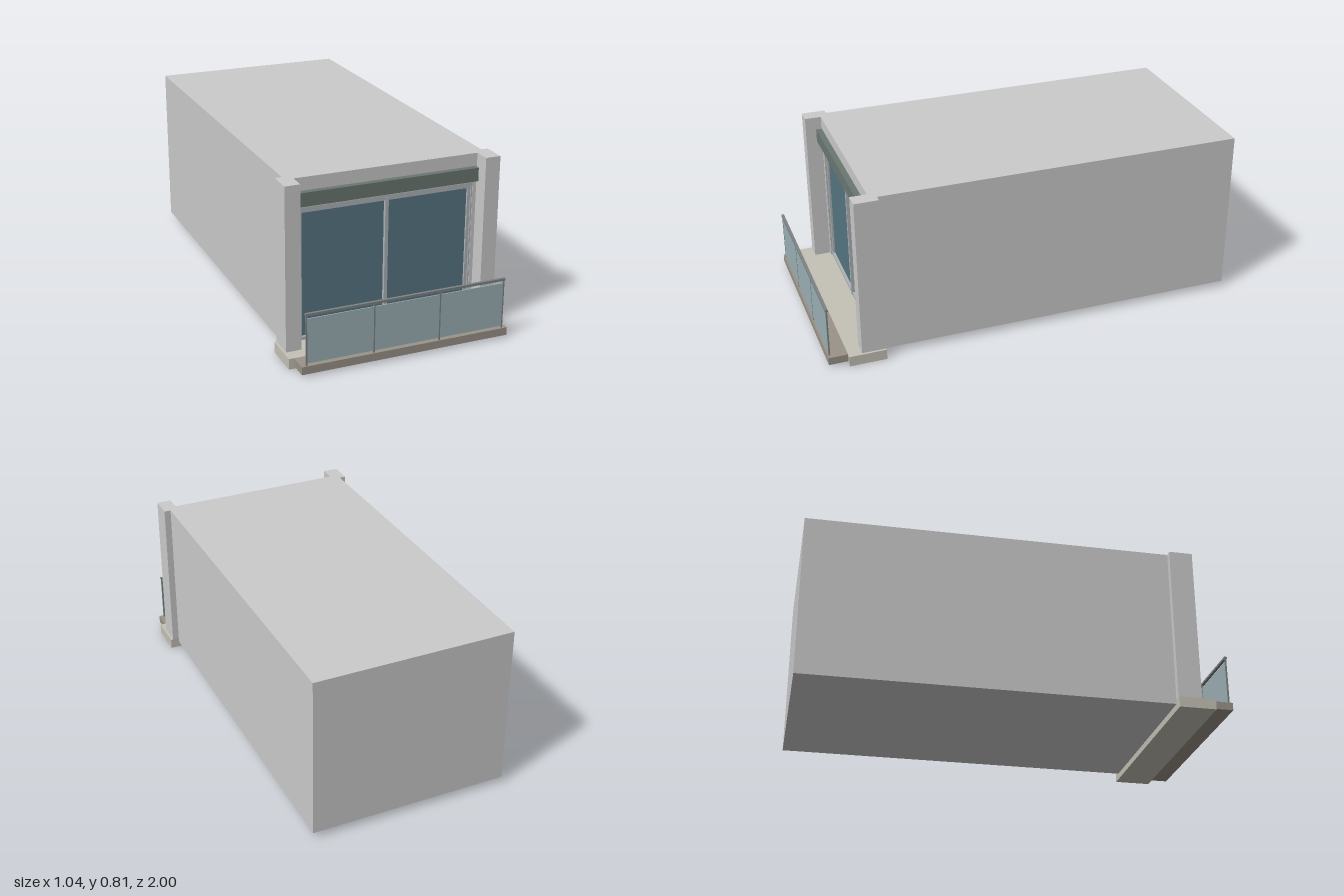
import * as THREE from 'three';

export function createModel() {
  const model = new THREE.Group();
  model.name = 'balconyRoom';

  const mat = (color) => new THREE.MeshStandardMaterial({ color });
  const wall = mat(0xcccccc), stone = mat(0xc5c1b6), deck = mat(0x9a9389);
  const frame = mat(0xaeb4b7), glass = mat(0x577682), louvre = mat(0x6b7772);
  const railGlass = mat(0x9db1b7), metal = mat(0x7d8383);

  // Box given by its extents along each axis
  function box(name, material, [x0, x1], [y0, y1], [z0, z1]) {
    const mesh = new THREE.Mesh(new THREE.BoxGeometry(x1 - x0, y1 - y0, z1 - z0), material);
    mesh.position.set((x0 + x1) / 2, (y0 + y1) / 2, (z0 + z1) / 2);
    mesh.name = name;
    model.add(mesh);
  }

  // Room volume and floor slabs
  box('roomBody', wall, [-0.475, 0.475], [0.03, 0.81], [-1, 0.735]);
  box('floorSlab', stone, [-0.518, 0.518], [0, 0.05], [0.735, 0.91]);
  box('balconySlab', deck, [-0.494, 0.494], [0.013, 0.05], [0.91, 1]);

  // Front wall around the window opening
  box('wallLintel', wall, [-0.436, 0.436], [0.673, 0.81], [0.735, 0.77]);
  for (const [side, s] of [['left', 1], ['right', -1]]) {
    const span = (a, b) => (s > 0 ? [a, b] : [-b, -a]);
    box(side + 'WallJamb', wall, span(0.418, 0.436), [0.05, 0.673], [0.735, 0.77]);
    box(side + 'Pillar', wall, span(0.436, 0.507), [0.05, 0.81], [0.735, 0.848]);

    // Window frame upright, sash stile and pane
    box(side + 'FrameUpright', frame, span(0.412, 0.418), [0.05, 0.673], [0.735, 0.768]);
    box(side + 'SashStile', frame, span(0.398, 0.412), [0.05, 0.66], [0.735, 0.762]);
    box(side + 'WindowPane', glass, span(0.008, 0.398), [0.065, 0.648], [0.735, 0.752]);
  }
  box('frameHead', frame, [-0.412, 0.412], [0.648, 0.673], [0.735, 0.765]);
  box('frameSill', frame, [-0.412, 0.412], [0.05, 0.065], [0.735, 0.765]);
  box('meetingStile', frame, [-0.008, 0.008], [0.05, 0.662], [0.735, 0.768]);

  // Shade panel above the window
  box('shadePanel', louvre, [-0.43, 0.43], [0.687, 0.75], [0.77, 0.798]);

  // Balustrade: posts, glass panels and handrail
  const posts = [-0.47, -0.157, 0.157, 0.47];
  posts.forEach((x, i) => {
    box('railPost', metal, [x - 0.003, x + 0.003], [0.05, 0.282], [0.987, 0.994]);
    if (i < 3) {
      box('railGlass', railGlass, [x + 0.003, posts[i + 1] - 0.003], [0.06, 0.268], [0.988, 0.993]);
    }
  });
  box('handrail', metal, [-0.475, 0.475], [0.281, 0.292], [0.984, 0.997]);

  return model;
}
